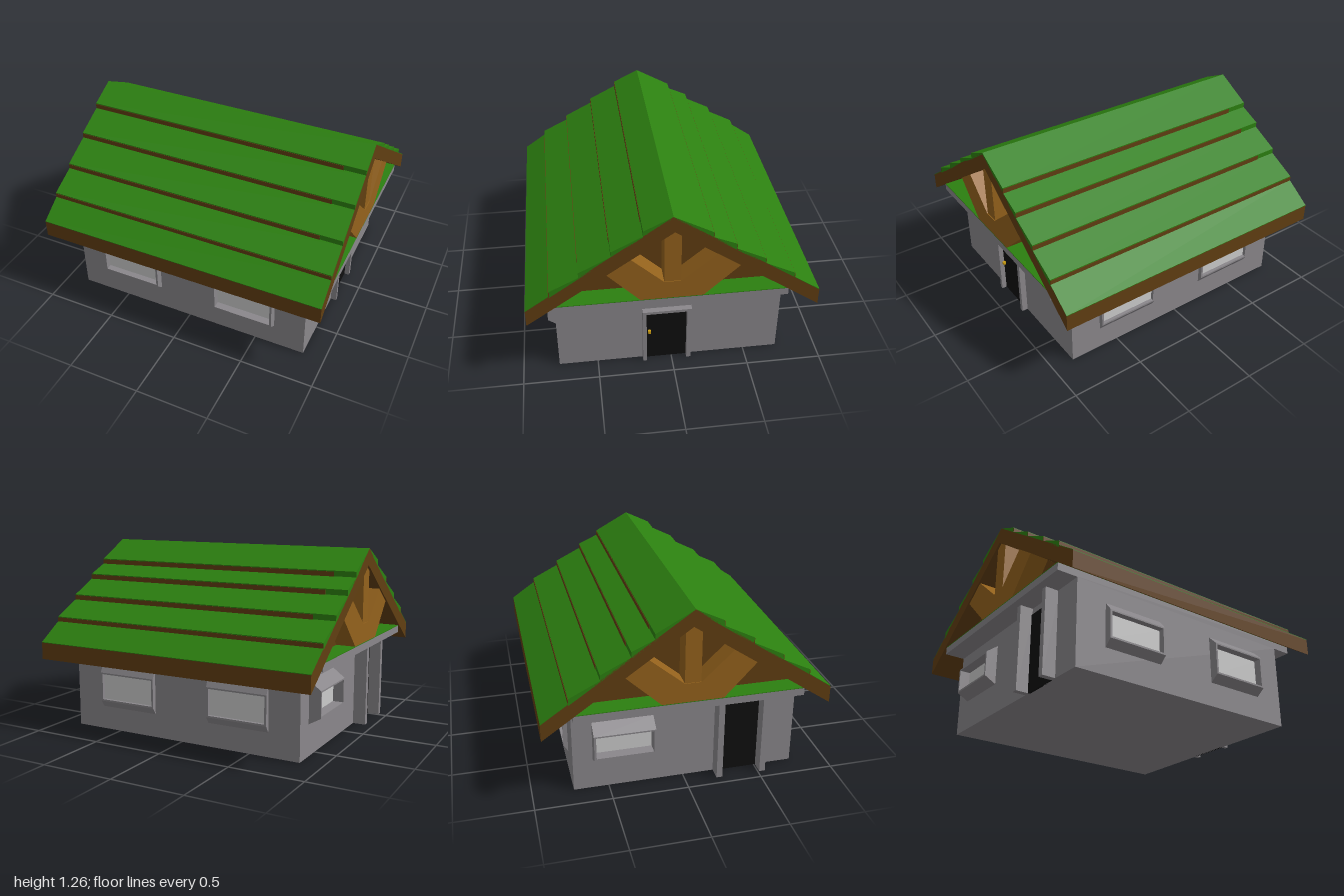
import * as THREE from 'three';

const mat = (color) => new THREE.MeshStandardMaterial({ color, flatShading: true });

export function createModel() {
  const model = new THREE.Group();
  const stone = mat(0x8a878b), glass = mat(0xcccccc), green = mat(0x2c8010);
  const brown = mat(0x613e12), timber = mat(0x94621c), black = mat(0x0f0f0f), brass = mat(0xd0a010);

  const add = (parent, name, geometry, material) => {
    const mesh = new THREE.Mesh(geometry, material);
    mesh.name = name;
    parent.add(mesh);
    return mesh;
  };
  // Box given by its limits
  const box = (parent, name, m, x0, x1, y0, y1, z0, z1) => {
    const g = new THREE.BoxGeometry(x1 - x0, y1 - y0, z1 - z0);
    g.translate((x0 + x1) / 2, (y0 + y1) / 2, (z0 + z1) / 2);
    return add(parent, name, g, m);
  };
  // Profile of [z, y] points swept along x
  const prism = (parent, name, m, points, x0, x1) => {
    const shape = new THREE.Shape(points.map(([z, y]) => new THREE.Vector2(-z, y)));
    const g = new THREE.ExtrudeGeometry(shape, { depth: x1 - x0, bevelEnabled: false });
    g.rotateY(Math.PI / 2).translate(x0, 0, 0);
    return add(parent, name, g, m);
  };

  // Walls and the ceiling slab that overhangs both gables
  box(model, 'walls', stone, -0.85, 0.85, 0, 0.585, -0.73, 0.76);
  box(model, 'ceilingSlab', stone, -0.99, 0.99, 0.585, 0.635, -0.73, 0.76);
  box(model, 'loftFloor', green, -0.99, 0.99, 0.635, 0.64, -0.73, 0.76);

  // Roof shell
  const ridge = [0.02, 1.265];
  prism(model, 'roofShell', brown, [
    ridge, [0.935, 0.63], [0.935, 0.515], [0.01, 1.153], [-0.93, 0.495], [-0.93, 0.61],
  ], -1, 1);

  // Overlapping roof planks with dark lower edges
  const slopes = [
    { s: 1, eave: [0.935, 0.63], ends: [0.2, 0.395, 0.595, 0.78] },
    { s: -1, eave: [-0.93, 0.61], ends: [-0.225, -0.37, -0.56, -0.755] },
  ];
  for (const { s, eave, ends } of slopes) {
    const roofY = (z) => ridge[1] + (z - ridge[0]) * (eave[1] - ridge[1]) / (eave[0] - ridge[0]);
    let z0 = ridge[0];
    ends.forEach((z1, i) => {
      const y0 = roofY(z0), y1 = roofY(z1), t = 0.036;
      prism(model, 'roofPlank', green, [[z0, y0], [z1, y1 + t], [z1, y1 - 0.01], [z0, y0 - 0.01]], -1, 1);
      const inner = i < 3 ? 0.85 : 1;
      const [a, b] = s > 0 ? [-1, inner] : [-inner, 1];
      box(model, 'plankEdge', brown, a, b, y1 - 0.01, y1 + t - 0.006, z1 - 0.003, z1 + 0.003);
      z0 = z1;
    });
    prism(model, 'eavePlank', green, [
      [z0, roofY(z0)], [z0, roofY(z0) + 0.004], [eave[0], eave[1] + 0.004], eave,
    ], -1, 1);
  }

  // Gable panels with timber trusses in front
  for (const side of [1, -1]) {
    const span = (a, b) => (side > 0 ? [a, b] : [-b, -a]);
    prism(model, 'gablePanel', brown, [[0.74, 0.635], [0.01, 1.16], [-0.72, 0.635]], ...span(0.83, 0.86));
    const truss = new THREE.Group();
    truss.name = 'truss';
    model.add(truss);
    prism(truss, 'kingPost', timber, [[0.07, 0.7], [0.07, 1.12], [0.01, 1.16], [-0.035, 1.13], [-0.035, 0.7]],
      ...span(0.86, 0.985));
    prism(truss, 'braces', timber, [
      [0.22, 0.64], [0.43, 0.865], [0.28, 0.97], [0.07, 0.77],
      [-0.035, 0.77], [-0.265, 0.965], [-0.41, 0.86], [-0.18, 0.64],
    ], ...span(0.86, 0.99));
  }

  // Window with sloping head and sill, built facing +z
  const addWindow = (x, z, angle, w, y0, y1, d) => {
    const win = new THREE.Group();
    win.name = 'window';
    win.position.set(x, 0, z);
    win.rotation.y = angle;
    model.add(win);
    const h = w / 2, top = y1 - 0.06, low = y0 + 0.045;
    prism(win, 'windowHead', stone, [[0, y1], [d, top], [d, top - 0.01], [0, top - 0.01]], -h, h);
    prism(win, 'windowSill', stone, [[0, y0], [d, low], [d, low + 0.012], [0, low + 0.012]], -h, h);
    for (const s of [-1, 1]) {
      const a = s * h, b = s * (h - 0.014);
      prism(win, 'windowJamb', stone, [[0, y1], [d, top], [d, low], [0, y0]], Math.min(a, b), Math.max(a, b));
    }
    box(win, 'windowPane', glass, -h + 0.014, h - 0.014, low + 0.012, top - 0.01, 0, 0.008);
  };
  addWindow(-0.427, 0.76, 0, 0.425, 0.18, 0.475, 0.05);
  addWindow(0.423, 0.76, 0, 0.425, 0.165, 0.49, 0.06);
  for (const x of [-0.42, 0.42]) addWindow(x, -0.73, Math.PI, 0.43, 0.16, 0.465, 0.03);
  addWindow(-0.85, -0.4, -Math.PI / 2, 0.4, 0.21, 0.49, 0.08);

  // Left door with frame and handle
  box(model, 'leftDoor', black, 0.84, 0.856, 0, 0.415, -0.1, 0.17);
  box(model, 'leftDoorJamb', stone, 0.84, 0.89, 0, 0.435, 0.17, 0.195);
  box(model, 'leftDoorJamb', stone, 0.84, 0.89, 0, 0.435, -0.13, -0.1);
  box(model, 'leftDoorLintel', stone, 0.84, 0.89, 0.415, 0.435, -0.1, 0.17);
  box(model, 'doorHandle', brass, 0.856, 0.875, 0.23, 0.25, 0.14, 0.158);

  // Right door between tall piers
  box(model, 'rightDoor', black, -0.856, -0.84, 0, 0.54, 0.25, 0.51);
  box(model, 'rightDoorPier', stone, -0.94, -0.84, 0, 0.585, 0.21, 0.25);
  box(model, 'rightDoorPier', stone, -0.94, -0.84, 0, 0.585, 0.51, 0.55);

  return model;
}
